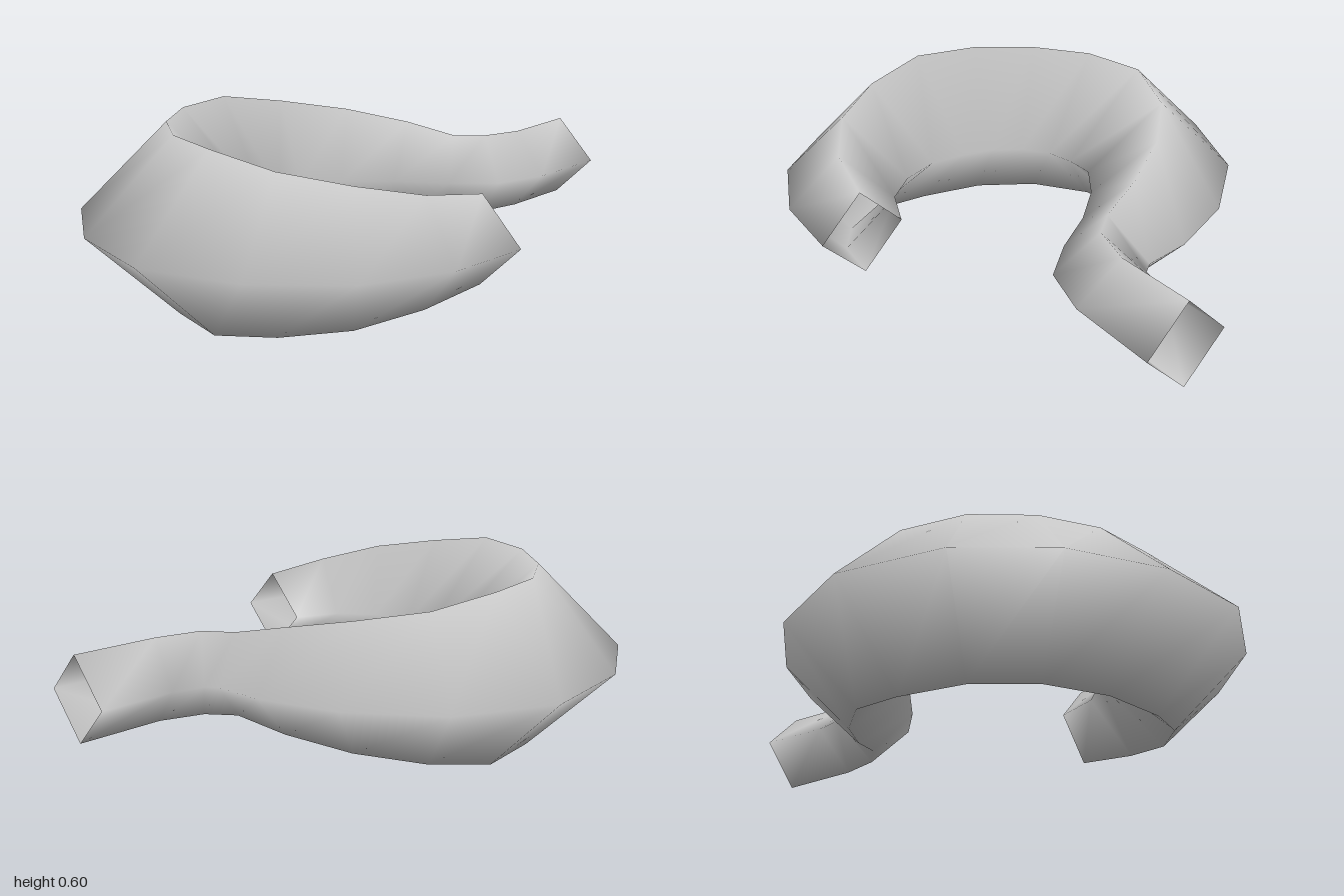
import * as THREE from 'three';

export function createModel() {
  const model = new THREE.Group();
  const grey = new THREE.MeshStandardMaterial({ color: 0xcccccc, side: THREE.DoubleSide });
  grey.name = 'plain grey';

  // Cross-sections from shank to tip: outer x, outer z, inner x, inner z
  const sections = [
    [0.09, -1, 0.385, -1],
    [0.095, -0.74, 0.375, -0.67],
    [0.07, -0.635, 0.315, -0.475],
    [0.03, -0.605, 0.18, -0.355],
    [-0.14, -0.58, 0.015, -0.245],
    [-0.4, -0.47, -0.125, -0.115],
    [-0.66, -0.25, -0.215, 0.015],
    [-0.81, 0.085, -0.215, 0.12],
    [-0.745, 0.45, -0.195, 0.22],
    [-0.55, 0.73, -0.13, 0.31],
    [-0.27, 0.925, -0.04, 0.37],
    [0.07, 1, 0.07, 0.4],
    [0.4, 0.89, 0.2, 0.41],
    [0.65, 0.68, 0.335, 0.36],
    [0.78, 0.4, 0.445, 0.265],
    [0.805, 0.11, 0.51, 0.11],
  ];

  // Diamond rings: inner, top, outer and bottom corners
  const midY = 0.3;
  const positions = [];
  const indices = [];
  sections.forEach(([ox, oz, ix, iz], i) => {
    const r = Math.min(0.3, Math.hypot(ox - ix, oz - iz) / 2);
    const cx = (ox + ix) / 2;
    const cz = (oz + iz) / 2;
    positions.push(ix, midY, iz, cx, midY + r, cz, ox, midY, oz, cx, midY - r, cz);
    if (i === 0) return;
    for (let k = 0; k < 4; k++) {
      const a = (i - 1) * 4 + k;
      const b = (i - 1) * 4 + ((k + 1) % 4);
      indices.push(a, b, a + 4, b, b + 4, a + 4);
    }
  });

  // Smooth hook tube, open at both ends
  const geometry = new THREE.BufferGeometry();
  geometry.setAttribute('position', new THREE.Float32BufferAttribute(positions, 3));
  geometry.setIndex(indices);
  geometry.computeVertexNormals();
  const hook = new THREE.Mesh(geometry, grey);
  hook.name = 'hook';
  model.add(hook);
  return model;
}
